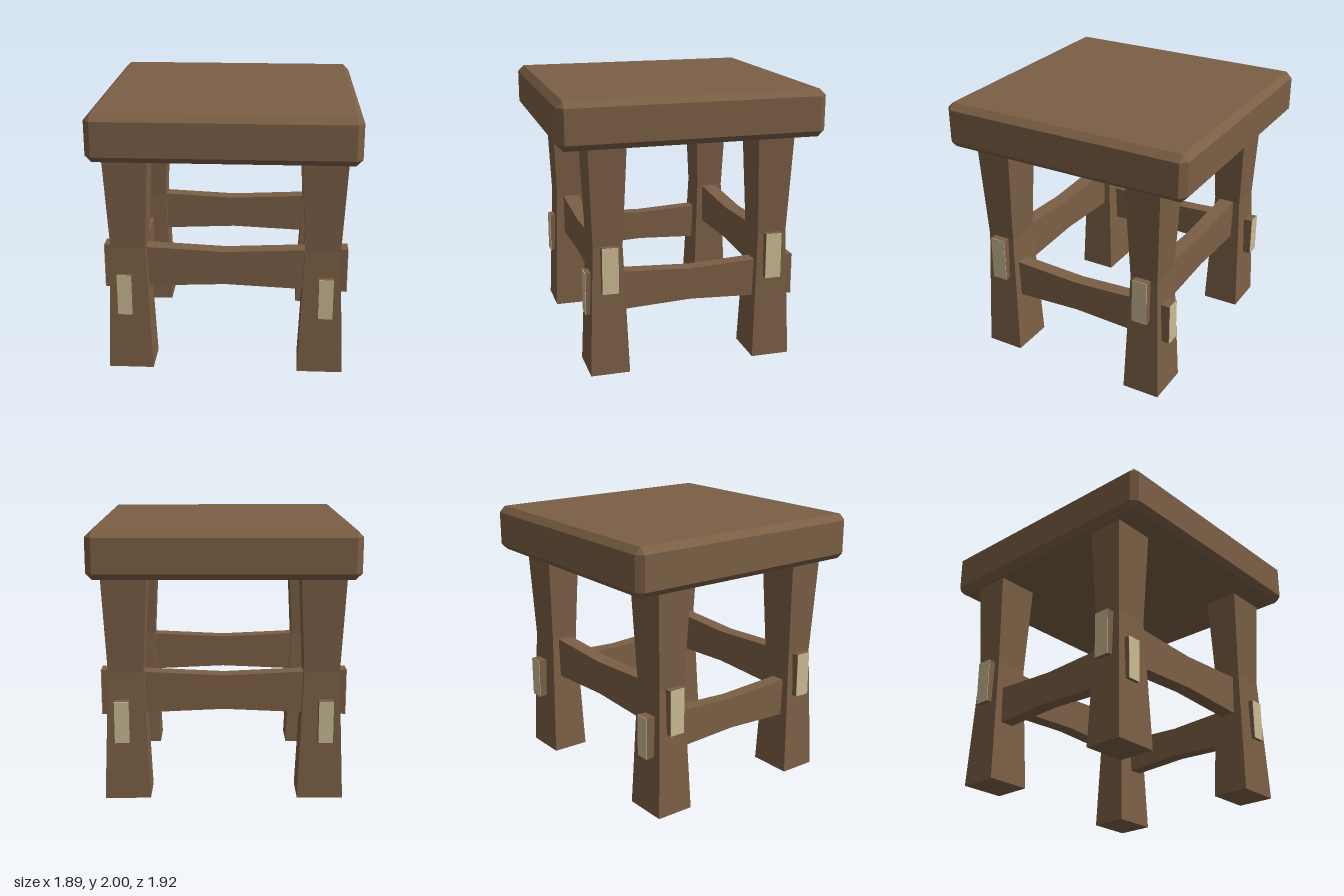
import * as THREE from 'three';
import { ConvexGeometry } from 'three/addons/geometries/ConvexGeometry.js';

const wood = new THREE.MeshStandardMaterial({ color: 0x7b5f45 });
wood.name = 'brown wood';
const endGrain = new THREE.MeshStandardMaterial({ color: 0xcabb93 });
endGrain.name = 'pale end grain';

function addMesh(parent, name, geometry, material) {
  const mesh = new THREE.Mesh(geometry, material);
  mesh.name = name;
  parent.add(mesh);
  return mesh;
}

// Box with every edge chamfered
function chamferedBox(w, h, d, c) {
  const points = [];
  for (const x of [-w / 2, w / 2]) for (const y of [-h / 2, h / 2]) for (const z of [-d / 2, d / 2]) {
    const [sx, sy, sz] = [x, y, z].map((v) => Math.sign(v) * c);
    points.push(
      new THREE.Vector3(x, y - sy, z - sz),
      new THREE.Vector3(x - sx, y, z - sz),
      new THREE.Vector3(x - sx, y - sy, z)
    );
  }
  return new ConvexGeometry(points);
}

// Square post that narrows to a waist: [y, width, depth] at three heights
function legGeometry() {
  const sections = [[0, 0.335, 0.286], [0.95, 0.256, 0.214], [1.67, 0.325, 0.27]];
  const box = new THREE.BoxGeometry(1, 2, 1, 1, 2, 1);
  const pos = box.attributes.position;
  for (let i = 0; i < pos.count; i++) {
    const [y, w, d] = sections[Math.round(pos.getY(i)) + 1];
    pos.setXYZ(i, pos.getX(i) * w, y, pos.getZ(i) * d);
  }
  const geometry = box.toNonIndexed();
  geometry.computeVertexNormals();
  return geometry;
}

// Stretcher along x, slimmer at the middle, with pale tenon ends
function makeRail(name, half, bottom, top, midBottom, midTop, thickness) {
  const rail = new THREE.Group();
  rail.name = name;
  const cap = 0.004;
  const e = half - cap;
  const shape = new THREE.Shape([
    [-e, bottom], [0, midBottom], [e, bottom], [e, top], [0, midTop], [-e, top]
  ].map(([x, y]) => new THREE.Vector2(x, y)));
  const body = new THREE.ExtrudeGeometry(shape, { depth: thickness, bevelEnabled: false });
  body.translate(0, 0, -thickness / 2);
  addMesh(rail, 'railBody', body, wood);
  for (const s of [-1, 1]) {
    const end = addMesh(rail, 'tenonEnd', new THREE.BoxGeometry(cap, top - bottom, thickness), endGrain);
    end.position.set(s * (half - cap / 2), (bottom + top) / 2, 0);
  }
  return rail;
}

export function createModel() {
  const stool = new THREE.Group();
  stool.name = 'stool';

  // Thick seat
  addMesh(stool, 'seat', chamferedBox(1.89, 0.34, 1.92, 0.046), wood).position.y = 1.83;

  // Four legs
  const leg = legGeometry();
  for (const x of [-0.707, 0.707]) for (const z of [-0.613, 0.613]) {
    addMesh(stool, 'leg', leg, wood).position.set(x, 0, z);
  }

  // Front and back rails pass through the legs above the side rails
  for (const s of [-1, 1]) {
    const rail = makeRail(s > 0 ? 'frontRail' : 'backRail', 0.893, 0.62, 0.957, 0.66, 0.915, 0.118);
    rail.position.z = s * 0.608;
    stool.add(rail);

    const side = makeRail(s > 0 ? 'leftRail' : 'rightRail', 0.785, 0.443, 0.753, 0.48, 0.715, 0.106);
    side.rotation.y = Math.PI / 2;
    side.position.set(s * 0.737, 0, -0.015);
    stool.add(side);
  }
  return stool;
}
